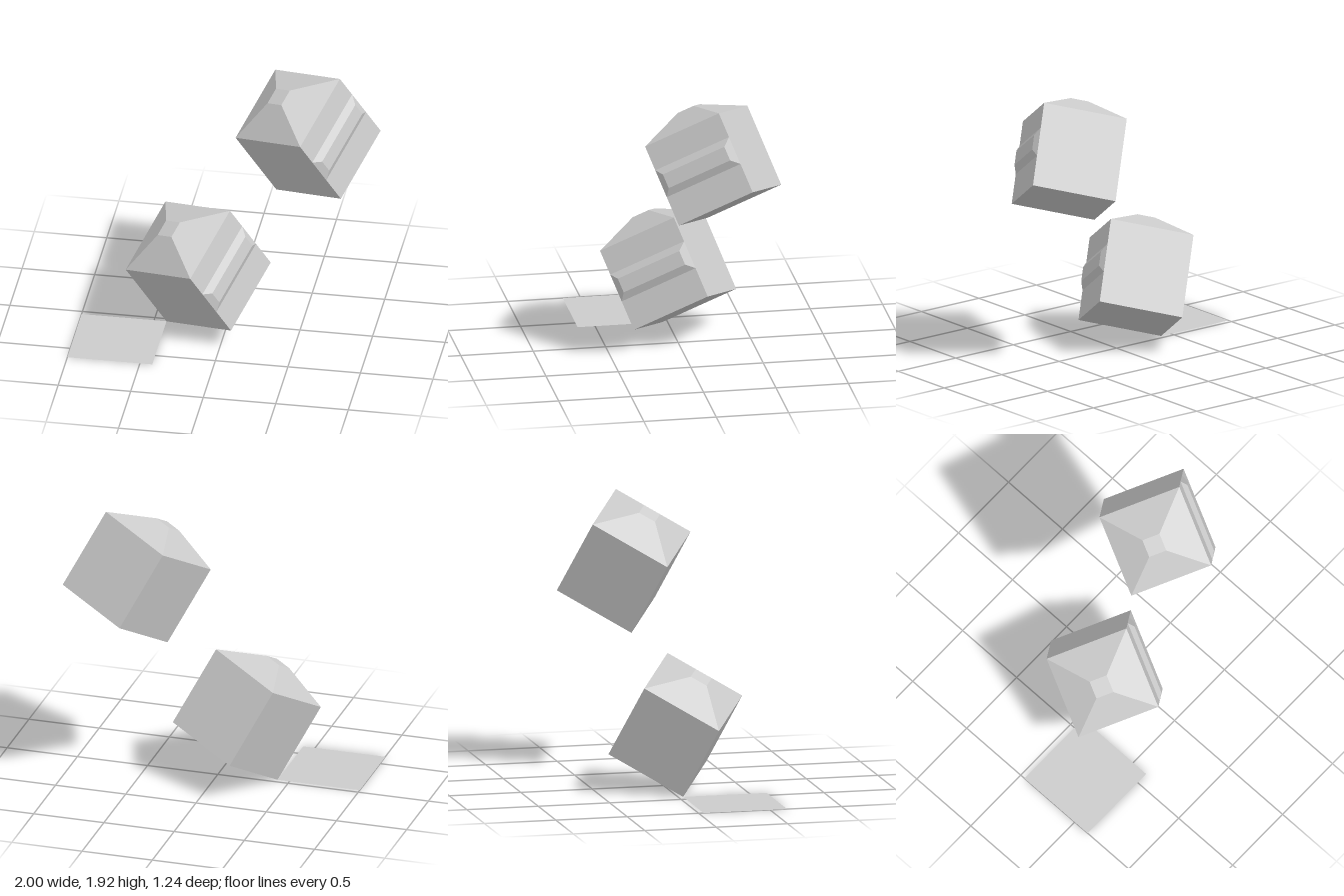
import * as THREE from 'three';

const S = 0.585; // cube edge
const gray = new THREE.MeshStandardMaterial({ color: 0xcccccc });
gray.name = 'plain gray';
gray.side = THREE.DoubleSide;

// Box faces are ordered +x, -x, +y, -y, +z, -z; drop the ones buried inside
function dropFaces(geo, dropped) {
  const index = Array.from(geo.index.array);
  geo.setIndex(index.filter((_, i) => !dropped.includes(Math.floor(i / 6))));
  geo.clearGroups();
  return geo;
}

// Open-bottomed frustum standing on y = 0
function frustum(w, d, topW, topD, h) {
  const geo = new THREE.BoxGeometry(w, h, d).translate(0, h / 2, 0);
  const p = geo.attributes.position;
  for (let i = 0; i < p.count; i++) {
    if (p.getY(i) > h / 2) p.setXYZ(i, Math.sign(p.getX(i)) * topW / 2, h, Math.sign(p.getZ(i)) * topD / 2);
  }
  geo.computeVertexNormals();
  return dropFaces(geo, [3]);
}

function part(name, geo) {
  const mesh = new THREE.Mesh(geo, gray);
  mesh.name = name;
  return mesh;
}

// Cube with its lower front left corner at the origin
function makeCube(name) {
  const g = new THREE.Group();
  g.name = name;
  const core = dropFaces(new THREE.BoxGeometry(S, S, S), [0, 2]).translate(S / 2, S / 2, -S / 2);
  g.add(part('cubeBody', core));

  // Blunt pyramid rising from the top face
  g.add(part('pyramidCap', frustum(S, S, 0.125, 0.125, 0.13).translate(S / 2, S, -S / 2)));

  // Side face: flat panels either side of a bevelled ridge
  const low = 0.36 * S, high = 0.70 * S;
  for (const [label, y0, y1] of [['lowerSidePanel', 0, low], ['upperSidePanel', high, S]]) {
    const panel = new THREE.PlaneGeometry(S, y1 - y0).rotateY(Math.PI / 2);
    g.add(part(label, panel.translate(S, (y0 + y1) / 2, -S / 2)));
  }
  const ridge = frustum(high - low, S, high - low - 0.098, S - 0.098, 0.028).rotateZ(-Math.PI / 2);
  g.add(part('sideRidge', ridge.translate(S, (low + high) / 2, -S / 2)));
  return g;
}

export function createModel() {
  const model = new THREE.Group();
  model.name = 'tiltedCubes';

  // Flat square on the ground
  const tile = part('groundTile', new THREE.PlaneGeometry(S, S).rotateX(-Math.PI / 2));
  tile.position.set(-1 + S / 2, 0, 0.035 + S / 2);
  model.add(tile);

  // Shared tilt, balanced on one corner
  const ax = new THREE.Vector3(0.495, 0.14, 0.285).normalize();
  const az = ax.clone().cross(new THREE.Vector3(-0.245, 0.5, 0.195)).normalize();
  const ay = az.clone().cross(ax);
  const tilt = new THREE.Matrix4().makeBasis(ax, ay, az);

  for (const [name, x, y, z] of [['lowerCube', -0.415, 0, 0.035], ['upperCube', 0.312, 1.005, -0.148]]) {
    const cube = makeCube(name);
    cube.quaternion.setFromRotationMatrix(tilt);
    cube.position.set(x, y, z);
    model.add(cube);
  }
  return model;
}
